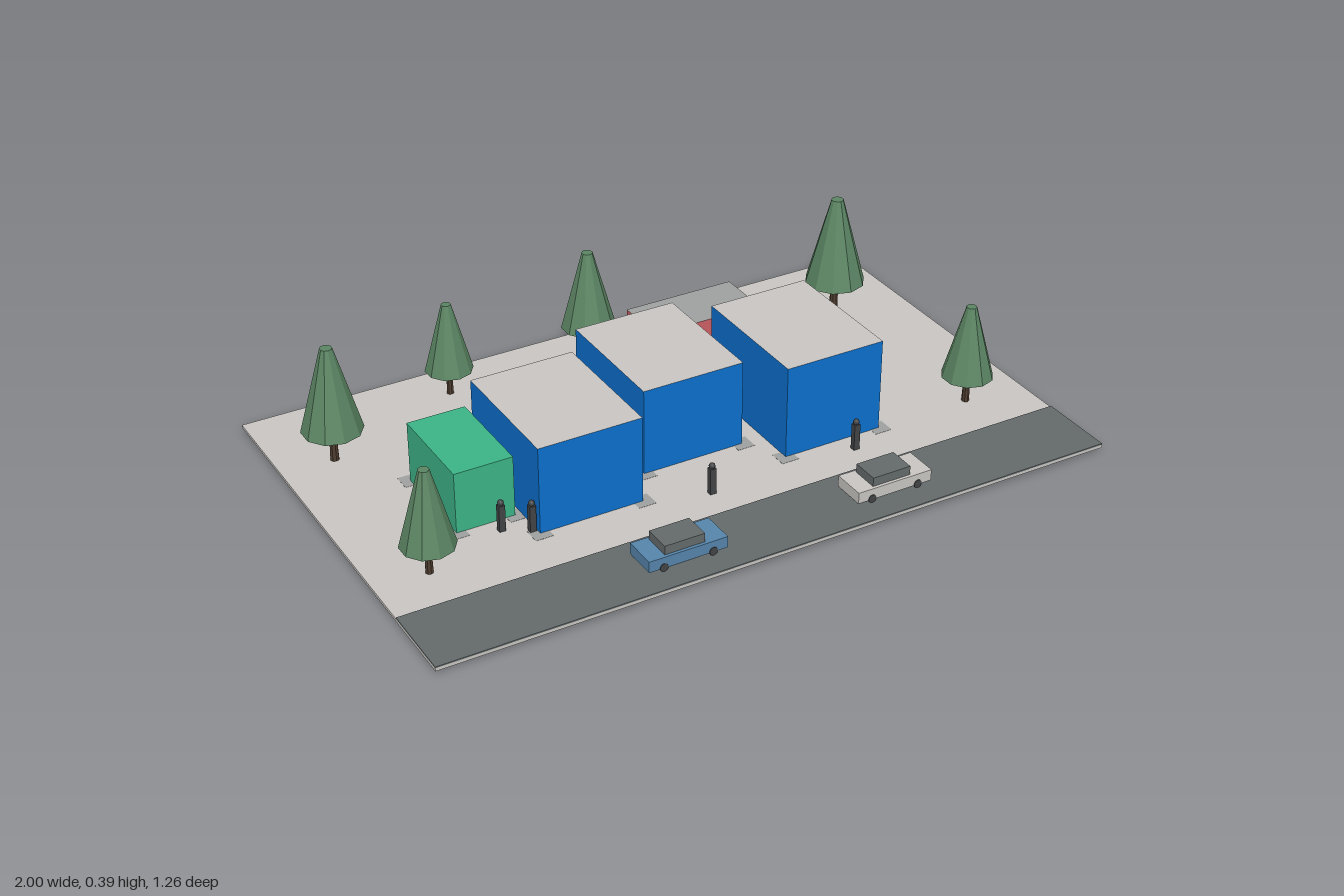
import * as THREE from 'three';

const mat = (name, color, flat = false) => {
  const m = new THREE.MeshStandardMaterial({ color, flatShading: flat });
  m.name = name;
  return m;
};

export function createModel() {
  const root = new THREE.Group();
  root.name = 'townBlock';

  const paving = mat('pale concrete', 0xc9c6c2);
  const asphalt = mat('asphalt grey', 0x646a6a);
  const blue = mat('bright blue', 0x0b70cc);
  const green = mat('mint green', 0x3cb488);
  const red = mat('coral red', 0xcc5f64);
  const grey = mat('mid grey', 0x9fa1a0);
  const leaf = mat('leaf green', 0x5b8563, true);
  const bark = mat('bark brown', 0x4e3d2f, true);
  const steel = mat('steel blue', 0x5585ab);
  const dark = mat('charcoal', 0x414345);

  const GROUND = 0.02, ROAD = 0.024;

  // Box given by its limits on each axis
  const box = (name, material, [x0, x1], [y0, y1], [z0, z1], parent = root) => {
    const mesh = new THREE.Mesh(new THREE.BoxGeometry(x1 - x0, y1 - y0, z1 - z0), material);
    mesh.position.set((x0 + x1) / 2, (y0 + y1) / 2, (z0 + z1) / 2);
    mesh.name = name;
    parent.add(mesh);
    return mesh;
  };

  // Site
  box('groundSlab', paving, [-1, 1], [0.011, GROUND], [-0.63, 0.63]);
  box('road', asphalt, [-1, 1], [GROUND, ROAD], [0.403, 0.63]);

  // Buildings: material order is +x, -x, roof, underside, front, back
  const painted = (wall, roof) => [wall, wall, roof, wall, wall, wall];
  const buildings = [
    ['westBlock', [-0.525, -0.222], 0.277, [-0.14, 0.25], painted(blue, paving)],
    ['middleBlock', [-0.155, 0.15], 0.276, [-0.245, 0.137], painted(blue, paving)],
    ['eastBlock', [0.218, 0.52], 0.295, [-0.144, 0.254], painted(blue, paving)],
    ['greenBlock', [-0.712, -0.543], 0.2, [-0.144, 0.142], painted(green, green)],
    ['rearAnnex', [0.09, 0.43], 0.195, [-0.4, -0.235], [red, red, grey, red, red, grey]],
  ];
  for (const [name, xs, top, zs, materials] of buildings) {
    const g = new THREE.Group();
    g.name = name;
    root.add(g);
    box('walls', materials, xs, [GROUND, top], zs, g);
    // Footings under the four corners
    for (const x of xs) for (const z of zs) {
      box('footing', grey, [x - 0.026, x + 0.026], [0, GROUND + 0.0006], [z - 0.026, z + 0.026], g);
    }
  }

  // Trees: x, z, top height, crown radius
  const trees = [
    [-0.845, -0.342, 0.366, 0.086], [-0.845, 0.264, 0.327, 0.075],
    [-0.425, -0.502, 0.305, 0.069], [0.023, -0.51, 0.346, 0.08],
    [0.777, -0.368, 0.389, 0.09], [0.814, 0.253, 0.32, 0.074],
  ];
  for (const [x, z, top, r] of trees) {
    const g = new THREE.Group();
    g.name = 'tree';
    g.position.set(x, GROUND, z);
    const h = top - GROUND, crownBase = h * 0.275;
    const trunk = new THREE.Mesh(new THREE.CylinderGeometry(r * 0.11, r * 0.15, crownBase + 0.02, 8), bark);
    trunk.name = 'trunk';
    trunk.position.y = (crownBase + 0.02) / 2;
    const crown = new THREE.Mesh(new THREE.CylinderGeometry(r * 0.2, r, h - crownBase, 10), leaf);
    crown.name = 'crown';
    crown.position.y = (h + crownBase) / 2;
    g.add(trunk, crown);
    root.add(g);
  }

  // Cars
  const wheelGeo = new THREE.CylinderGeometry(0.012, 0.012, 0.01, 12).rotateX(Math.PI / 2);
  for (const [x, paint] of [[-0.262, steel], [0.366, paving]]) {
    const g = new THREE.Group();
    g.name = 'car';
    g.position.set(x, 0, 0.51);
    root.add(g);
    box('body', paint, [-0.115, 0.115], [0.033, 0.066], [-0.049, 0.049], g);
    box('cabin', asphalt, [-0.065, 0.052], [0.066, 0.092], [-0.04, 0.04], g);
    for (const wx of [-0.072, 0.072]) for (const wz of [-0.046, 0.046]) {
      const wheel = new THREE.Mesh(wheelGeo, dark);
      wheel.name = 'wheel';
      wheel.position.set(wx, ROAD + 0.012, wz);
      g.add(wheel);
    }
  }

  // People
  for (const [x, z] of [[-0.605, 0.187], [-0.537, 0.228], [-0.045, 0.306], [0.405, 0.311]]) {
    const g = new THREE.Group();
    g.name = 'person';
    g.position.set(x, GROUND, z);
    root.add(g);
    box('figure', dark, [-0.009, 0.009], [0, 0.078], [-0.008, 0.008], g);
    const head = new THREE.Mesh(new THREE.SphereGeometry(0.009, 10, 8), dark);
    head.name = 'head';
    head.position.y = 0.085;
    g.add(head);
  }

  return root;
}
